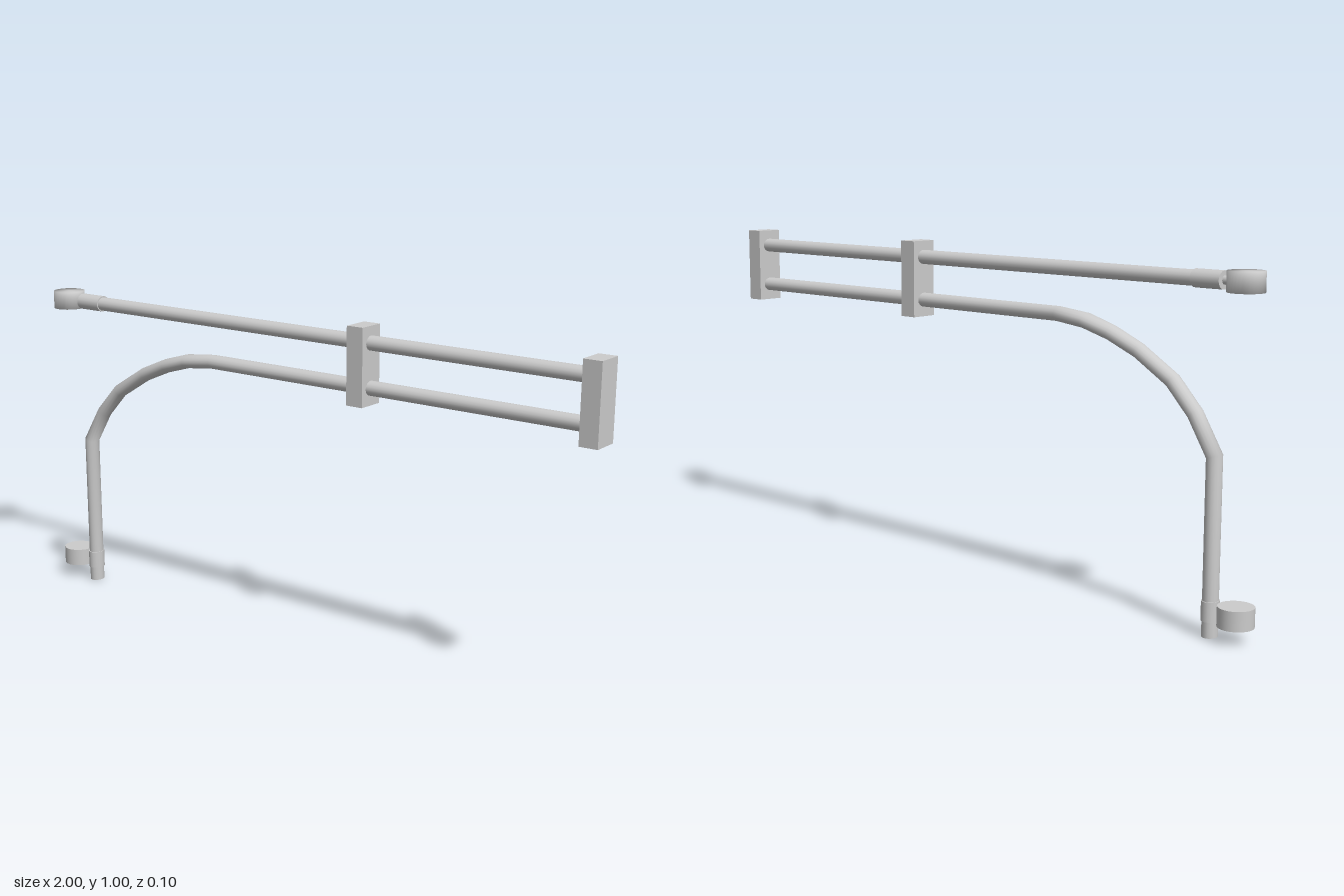
import * as THREE from 'three';
import { mergeVertices } from 'three/addons/utils/BufferGeometryUtils.js';

const material = new THREE.MeshStandardMaterial({ color: 0xcccccc, side: THREE.DoubleSide });
const SIDES = 16;

function add(group, name, geometry, x = 0, y = 0, z = 0) {
  const mesh = new THREE.Mesh(geometry, material);
  mesh.name = name;
  mesh.position.set(x, y, z);
  group.add(mesh);
  return mesh;
}

// Round rod along x, slightly deeper in z than it is tall
function rod(group, name, x0, x1, y, r, rz) {
  const geo = new THREE.CylinderGeometry(r, r, x1 - x0, SIDES);
  geo.rotateZ(Math.PI / 2).scale(1, 1, rz / r);
  return add(group, name, geo, (x0 + x1) / 2, y);
}

// Tube with mitred rings at each point; points are [x, y, depth radius]
function bentTube(points, r) {
  const pos = [], index = [];
  const pts = points.map(p => new THREE.Vector2(p[0], p[1]));
  const dir = i => pts[i + 1].clone().sub(pts[i]).normalize();
  const last = pts.length - 1;
  pts.forEach((p, i) => {
    const a = dir(Math.max(i - 1, 0)), b = dir(Math.min(i, last - 1));
    const t = a.clone().add(b).normalize();
    const w = r / t.dot(a);
    for (let j = 0; j < SIDES; j++) {
      const s = j / SIDES * Math.PI * 2;
      const c = Math.cos(s) * w;
      pos.push(p.x - t.y * c, p.y + t.x * c, Math.sin(s) * points[i][2]);
      if (i < last) {
        const k = (j + 1) % SIDES, o = i * SIDES;
        index.push(o + j, o + k, o + SIDES + j, o + k, o + SIDES + k, o + SIDES + j);
      }
    }
  });
  const geo = new THREE.BufferGeometry();
  geo.setAttribute('position', new THREE.Float32BufferAttribute(pos, 3));
  geo.setIndex(index);
  geo.computeVertexNormals();
  return geo;
}

export function createModel() {
  const group = new THREE.Group();

  // Straight upper rail with a sleeve and neck at its free end
  rod(group, 'upperRail', -0.81, 0.97, 0.952, 0.0215, 0.0245);
  rod(group, 'upperSleeve', -0.885, -0.795, 0.952, 0.025, 0.028);
  rod(group, 'upperNeck', -0.92, -0.88, 0.952, 0.012, 0.012);

  // Lower rail that sweeps down into the upright leg, swelling slightly in the bend
  add(group, 'bentLowerRail', bentTube([
    [0.97, 0.822, 0.0245], [-0.33, 0.822, 0.0245], [-0.43, 0.811, 0.033],
    [-0.52, 0.785, 0.028], [-0.615, 0.745, 0.0245], [-0.73, 0.675, 0.0245],
    [-0.805, 0.595, 0.0245], [-0.869, 0.49, 0.0245], [-0.869, 0, 0.0245],
  ], 0.0215));
  const foot = new THREE.CircleGeometry(0.0215, SIDES);
  foot.rotateX(Math.PI / 2).scale(1, 1, 0.0245 / 0.0215);
  add(group, 'legEndCap', foot, -0.869, 0.0005);

  // Collar near the foot of the leg
  const collar = new THREE.CylinderGeometry(0.024, 0.024, 0.055, SIDES);
  collar.scale(1, 1, 1.15);
  add(group, 'legCollar', collar, -0.869, 0.0725);

  // Round knobs: the upper one is shaded soft across its rim
  const soft = new THREE.CylinderGeometry(0.05, 0.05, 0.055, 32);
  soft.deleteAttribute('normal');
  soft.deleteAttribute('uv');
  const softKnob = mergeVertices(soft);
  softKnob.computeVertexNormals();
  add(group, 'upperKnob', softKnob, -0.95, 0.9525);
  add(group, 'lowerKnob', new THREE.CylinderGeometry(0.05, 0.05, 0.055, 32), -0.95, 0.0725);

  // Blocks that tie the two rails together
  for (const [name, x] of [['middleBlock', 0.235], ['endBlock', 0.9725]]) {
    add(group, name, new THREE.BoxGeometry(0.055, 0.23, 0.084), x, 0.886);
  }
  return group;
}
